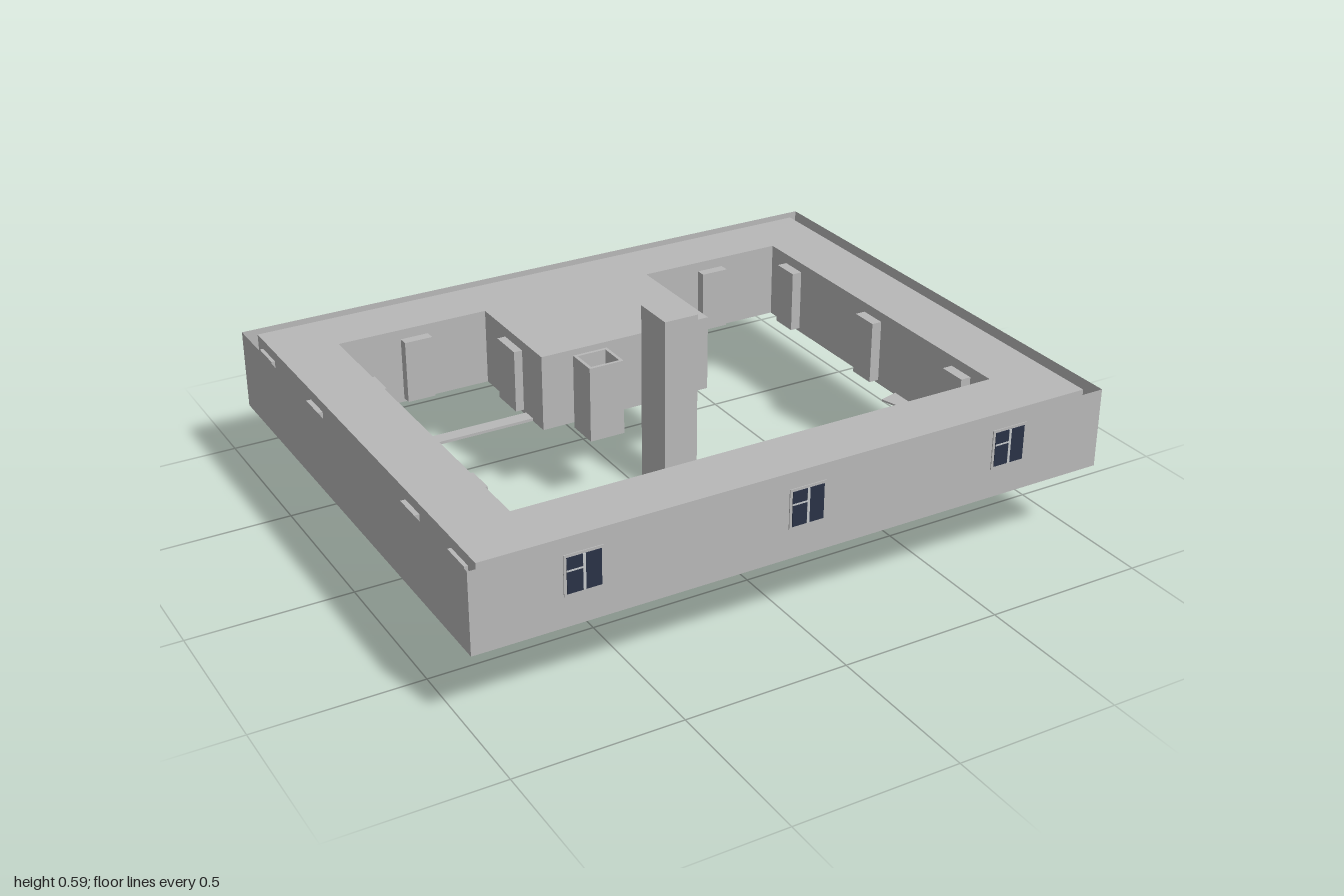
import * as THREE from 'three';

const stone = new THREE.MeshStandardMaterial({ color: 0xb8b8b8 });
stone.name = 'grey stone';
const sheet = new THREE.MeshStandardMaterial({ color: 0xb8b8b8, side: THREE.DoubleSide });
sheet.name = 'grey facade sheet';
const glass = new THREE.MeshStandardMaterial({ color: 0x2a3246 });
glass.name = 'navy glass';
const trim = new THREE.MeshStandardMaterial({ color: 0xc4c7ca });
trim.name = 'pale trim';

const BASE = 0.243, TOP = 0.49;

export function createModel() {
  const model = new THREE.Group();
  const body = new THREE.Group();
  body.name = 'building';
  body.position.x = 0.005;
  model.add(body);

  const add = (name, geometry, material = stone) => {
    const mesh = new THREE.Mesh(geometry, material);
    mesh.name = name;
    body.add(mesh);
    return mesh;
  };
  // box given by its limits on each axis
  const box = (name, x0, x1, y0, y1, z0, z1, material = stone) =>
    add(name, new THREE.BoxGeometry(x1 - x0, y1 - y0, z1 - z0), material)
      .position.set((x0 + x1) / 2, (y0 + y1) / 2, (z0 + z1) / 2);
  // outline in plan (x, z) raised between two heights
  const pts = (list) => list.map(([x, z]) => new THREE.Vector2(x, z));
  const slab = (name, outline, y0, y1, hole) => {
    const shape = new THREE.Shape(pts(outline));
    if (hole) shape.holes.push(new THREE.Path(pts(hole)));
    const g = new THREE.ExtrudeGeometry(shape, { depth: y1 - y0, bevelEnabled: false });
    g.rotateX(Math.PI / 2);
    g.translate(0, y1, 0);
    return add(name, g);
  };

  // four wings around a courtyard, with the hall block reaching in from the back
  slab('wings',
    [[-0.967, -0.77], [0.953, -0.77], [0.953, 0.765], [-0.967, 0.765]], BASE, TOP - 0.004,
    [[-0.78, -0.585], [-0.295, -0.585], [-0.295, -0.2], [0.28, -0.2],
      [0.28, -0.585], [0.763, -0.585], [0.763, 0.577], [-0.78, 0.577]]);

  // thin outer facades standing clear of the wings
  const facade = (name, width, x, z, turn) => {
    const m = add(name, new THREE.PlaneGeometry(width, TOP - BASE), sheet);
    m.position.set(x, (TOP + BASE) / 2, z);
    m.rotation.y = turn;
  };
  facade('frontFacade', 2, -0.005, 0.797, 0);
  facade('backFacade', 2, -0.005, -0.801, Math.PI);
  facade('leftFacade', 1.598, 0.995, -0.002, Math.PI / 2);
  facade('rightFacade', 1.598, -1.005, -0.002, -Math.PI / 2);

  // courtyard door bays
  const D0 = 0.255, D1 = 0.455, H = 0.045;
  for (const x of [-0.535, -0.2, 0.135, 0.475]) box('courtFrontBay', x - H, x + H, D0, D1, 0.547, 0.58);
  for (const x of [-0.535, 0.52]) box('courtBackBay', x - H, x + H, D0, D1, -0.588, -0.553);
  for (const z of [-0.455, -0.005, 0.445]) box('courtLeftBay', 0.73, 0.766, D0, D1, z - H, z + H);
  for (const z of [-0.34, 0.335]) box('courtRightBay', -0.783, -0.75, D0, D1, z - H, z + H);
  box('hallDoorBay', -0.322, -0.29, D0, D1, -0.445, -0.33);

  // bays in the gap behind the outer facades
  for (const x of [-0.715, -0.395, -0.065, 0.262, 0.588]) box('outerBackBay', x - H, x + H, D0, D1, -0.799, -0.765);
  for (const z of [-0.445, -0.138, 0.13, 0.475]) box('outerLeftBay', 0.95, 0.985, D0, D1, z - H, z + H);
  for (const z of [-0.292, 0.38]) box('outerRightBay', -0.995, -0.96, D0, D1, z - H, z + H);
  for (const z of [-0.68, 0.67]) {
    box('cornerBay', 0.95, 0.964, D0, D1, z - 0.05, z + 0.05);
    box('cornerBay', -0.978, -0.96, D0, D1, z - 0.05, z + 0.05);
  }

  // front windows: frame, two panes and one glazing bar
  for (const x of [-0.685, -0.01, 0.665]) {
    box('windowFrame', x - 0.058, x + 0.058, 0.335, 0.457, 0.76, 0.8);
    box('windowPane', x - 0.05, x - 0.004, 0.343, 0.449, 0.799, 0.802, glass);
    box('windowPane', x + 0.004, x + 0.05, 0.343, 0.449, 0.799, 0.802, glass);
    box('windowMullion', x - 0.004, x + 0.004, 0.343, 0.449, 0.799, 0.803, trim);
    box('windowBar', x - 0.05, x - 0.004, 0.408, 0.413, 0.8, 0.803, trim);
  }

  // tall tower in three stacked stages, tied to the hall
  for (const [y0, y1] of [[0, 0.243], [0.243, 0.49], [0.49, 0.59]]) {
    box('towerStage', 0.032, 0.145, y0, y1, -0.178, -0.035);
  }
  box('towerLink', 0.053, 0.13, 0.25, 0.455, -0.205, -0.175);

  // short open-topped shaft beside the tower
  slab('shaftWalls', [[-0.2, -0.18], [-0.086, -0.18], [-0.086, -0.075], [-0.2, -0.075]], 0.236, 0.477,
    [[-0.19, -0.17], [-0.096, -0.17], [-0.096, -0.085], [-0.19, -0.085]]);
  box('shaftFloor', -0.191, -0.095, 0.236, 0.43, -0.171, -0.084);
  box('shaftLink', -0.178, -0.108, 0.25, 0.455, -0.205, -0.178);

  // flat walkway across the court
  box('walkway', -0.785, -0.29, 0.243, 0.252, -0.315, -0.27);

  // loose ground plates poking out from under the wings
  [
    [[0.7, 0.15], [0.77, 0.13], [0.77, 0.3], [0.745, 0.3]],
    [[-0.367, 0.533], [-0.295, 0.58], [-0.4, 0.58]],
    [[0.44, -0.79], [0.485, -0.765], [0.42, -0.765]],
    [[0.5, -0.56], [0.46, -0.59], [0.515, -0.59]],
    [[0.988, -0.19], [0.95, -0.16], [0.95, -0.225]],
    [[-0.77, -0.135], [-0.785, -0.13], [-0.785, -0.19]],
  ].forEach((outline) => slab('groundPlate', outline, 0.244, 0.25));

  return model;
}
